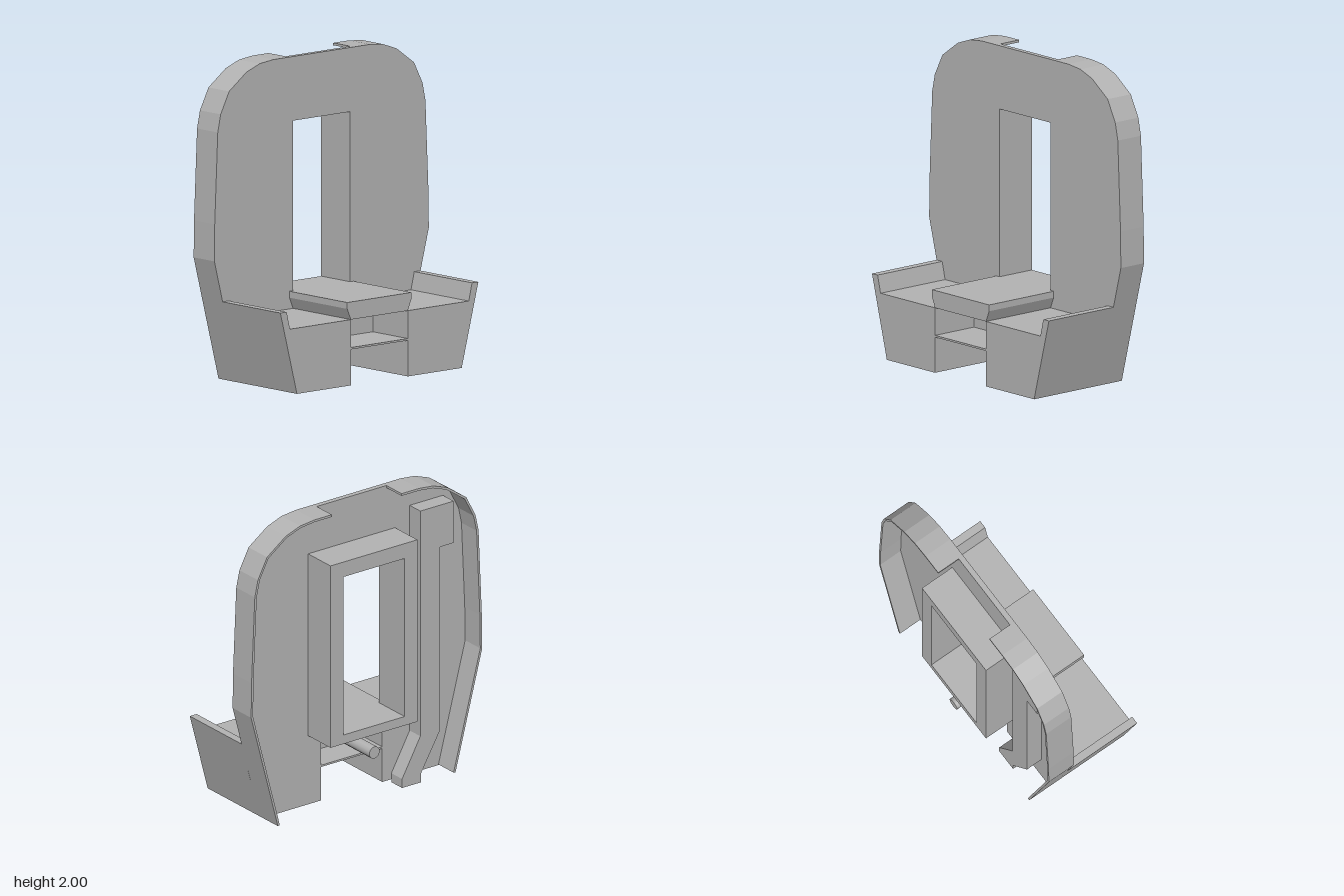
import * as THREE from 'three';

export function createModel() {
  const model = new THREE.Group();
  const grey = new THREE.MeshStandardMaterial({ color: 0xb2b2b2 });
  grey.name = 'plain grey';

  const toShape = (pts) => new THREE.Shape(pts.map(([x, y]) => new THREE.Vector2(x, y)));
  const mirror = (pts, side) => pts.map(([x, y]) => [x * side, y]);

  function add(name, geometry) {
    const mesh = new THREE.Mesh(geometry, grey);
    mesh.name = name;
    model.add(mesh);
    return mesh;
  }
  // Front-view outline extruded from zBack to zFront
  function slab(name, shape, zBack, zFront) {
    const geometry = new THREE.ExtrudeGeometry(shape, { depth: zFront - zBack, bevelEnabled: false });
    geometry.translate(0, 0, zBack);
    return add(name, geometry);
  }

  const wallFront = -0.13, wallBack = -0.165, rimBack = -0.32;
  const inner = 0.235;

  // Half outline from the foot up to the crown
  const half = [
    [0.68, 0.02], [0.885, 0.8], [0.882, 1.03], [0.857, 1.6], [0.833, 1.71],
    [0.763, 1.845], [0.62, 1.948], [0.51, 1.988], [0.4, 2.0],
  ];

  // Upright panel, open between the legs and through the window
  slab('uprightPanel', toShape([
    ...half, ...mirror(half, -1).reverse(),
    [-inner, 0.02], [-inner, 1.6], [inner, 1.6], [inner, 0.02],
  ]), wallBack, wallFront);

  // Thin rim behind each side of the panel, leaving a gap at the crown
  const rimPath = [...half, [0.267, 2.0]];
  const inset = rimPath.map(([x, y], i) => {
    const a = rimPath[Math.max(i - 1, 0)];
    const b = rimPath[Math.min(i + 1, rimPath.length - 1)];
    const dx = b[0] - a[0], dy = b[1] - a[1], len = Math.hypot(dx, dy);
    return [x - (dy / len) * 0.015, y + (dx / len) * 0.015];
  });
  const rim = [...rimPath, ...inset.reverse()];

  // Armrest block with a raised outer lip
  const block = [
    [inner, 0.02], [0.68, 0.02], [0.817, 0.54], [0.765, 0.54], [0.738, 0.43], [inner, 0.43],
  ];
  for (const [side, label] of [[1, 'left'], [-1, 'right']]) {
    slab(label + 'Rim', toShape(mirror(rim, side)), rimBack, wallBack);
    slab(label + 'Block', toShape(mirror(block, side)), wallFront, 0.4);
  }

  // Window frame standing out at the back
  const frame = toShape([[-0.333, 0.48], [0.333, 0.48], [0.333, 1.7], [-0.333, 1.7]]);
  frame.holes.push(new THREE.Path([[-inner, 0.54], [-inner, 1.6], [inner, 1.6], [inner, 0.54]]
    .map(([x, y]) => new THREE.Vector2(x, y))));
  slab('windowFrame', frame, -0.395, wallBack);

  // Central tray top with tapered sides
  slab('trayTop', toShape([
    [-inner, 0.43], [inner, 0.43], [0.265, 0.5], [0.265, 0.54], [-0.265, 0.54], [-0.265, 0.5],
  ]), wallBack, 0.4);

  // Recessed panel and thin shelf under the tray
  const recess = add('recessPanel', new THREE.BoxGeometry(inner * 2, 0.18, 0.04));
  recess.position.set(0, 0.34, 0.06);
  const shelf = add('shelf', new THREE.BoxGeometry(inner * 2, 0.012, 0.4 - wallBack));
  shelf.position.set(0, 0.25, (0.4 + wallBack) / 2);

  // Round rod pointing backwards
  const rod = add('rod', new THREE.CylinderGeometry(0.04, 0.04, 0.45, 12).rotateX(Math.PI / 2));
  rod.position.set(0, 0.362, -0.175);

  // Hooked strip on the back of the panel
  slab('hookedStrip', toShape([
    [-0.445, 1.82], [-0.7, 1.82], [-0.7, 1.54], [-0.595, 1.54], [-0.595, 0.31],
    [-0.45, 0.06], [-0.45, 0], [-0.305, 0], [-0.305, 0.06], [-0.445, 0.31],
  ]), -0.275, wallBack);

  return model;
}
